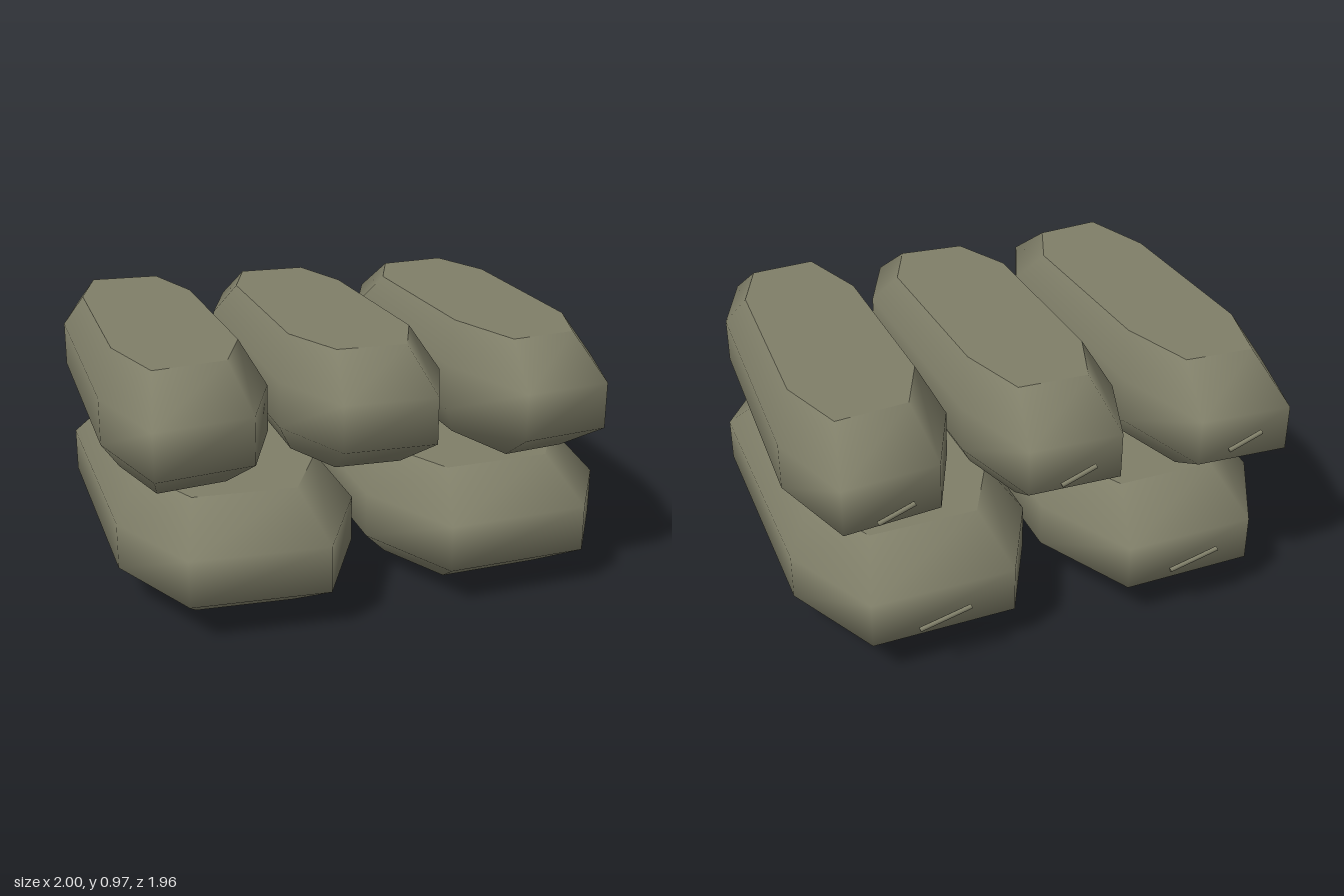
import * as THREE from 'three';

// Octagonal bag outlines seen from above, as [x, z], starting at the back
const LOWER = [
  [[-0.77, -0.92], [-0.24, -0.94], [-0.04, -0.54], [-0.035, 0.56], [-0.25, 0.98], [-0.77, 0.95], [-0.96, 0.55], [-0.975, -0.54]],
  [[0.22, -0.905], [0.785, -0.925], [0.985, -0.53], [1.0, 0.58], [0.79, 0.92], [0.23, 0.95], [0.03, 0.55], [0.035, -0.53]],
];
const UPPER = [
  [[-0.88, -0.94], [-0.51, -0.93], [-0.39, -0.52], [-0.375, 0.57], [-0.51, 0.91], [-0.88, 0.97], [-1.0, 0.54], [-0.995, -0.54]],
  [[-0.2, -0.9], [0.17, -0.9], [0.285, -0.51], [0.315, 0.57], [0.18, 0.9], [-0.18, 0.89], [-0.325, 0.55], [-0.325, -0.55]],
  [[0.49, -0.86], [0.865, -0.91], [0.995, -0.53], [0.97, 0.57], [0.85, 0.92], [0.5, 0.97], [0.365, 0.54], [0.35, -0.52]],
];
// Cross-section of a bag: [height, outline scale]
const LEVELS = [[0, 0.725], [0.148, 1], [0.328, 1], [0.475, 0.76]];

function bagGeometry(outline) {
  const n = outline.length;
  const cx = outline.reduce((s, p) => s + p[0], 0) / n;
  const cz = outline.reduce((s, p) => s + p[1], 0) / n;
  const positions = [];
  const index = [];
  const addRing = ([y, s]) => {
    for (const [x, z] of outline) positions.push(cx + (x - cx) * s, y, cz + (z - cz) * s);
  };

  // Smooth stuffed sides
  LEVELS.forEach(addRing);
  for (let r = 0; r < LEVELS.length - 1; r++) {
    for (let k = 0; k < n; k++) {
      const i = r * n + k;
      const j = r * n + ((k + 1) % n);
      index.push(j, i, i + n, j, i + n, j + n);
    }
  }
  // Flat top and bottom with their own vertices, so the rims stay sharp
  const bottom = positions.length / 3;
  addRing(LEVELS[0]);
  const top = positions.length / 3;
  addRing(LEVELS[LEVELS.length - 1]);
  for (let k = 1; k < n - 1; k++) {
    index.push(bottom, bottom + k, bottom + k + 1);
    index.push(top, top + k + 1, top + k);
  }

  const geometry = new THREE.BufferGeometry();
  geometry.setAttribute('position', new THREE.Float32BufferAttribute(positions, 3));
  geometry.setIndex(index);
  geometry.computeVertexNormals();
  return geometry;
}

export function createModel() {
  const group = new THREE.Group();
  group.name = 'sandbagStack';
  const canvas = new THREE.MeshStandardMaterial({ color: 0x7f7e68 });
  canvas.name = 'olive canvas';

  function addLayer(outlines, y, layer, tieXs, tieSpan) {
    outlines.forEach((outline, i) => {
      const bag = new THREE.Mesh(bagGeometry(outline), canvas);
      bag.name = `${layer}Bag${i + 1}`;
      bag.position.y = y;
      group.add(bag);

      // Slanted cord behind the bag's back end
      const rise = 0.053;
      const cord = new THREE.CylinderGeometry(0.009, 0.009, Math.hypot(tieSpan, rise), 8);
      const tie = new THREE.Mesh(cord, canvas);
      tie.name = `${layer}Tie${i + 1}`;
      tie.position.set(tieXs[i], y + 0.241, -0.975);
      tie.rotation.z = Math.PI / 2 - Math.atan2(rise, tieSpan);
      group.add(tie);
    });
  }

  addLayer(LOWER, 0, 'lower', [-0.5, 0.52], 0.2);
  addLayer(UPPER, 0.497, 'upper', [-0.675, 0.007, 0.69], 0.135);
  return group;
}
